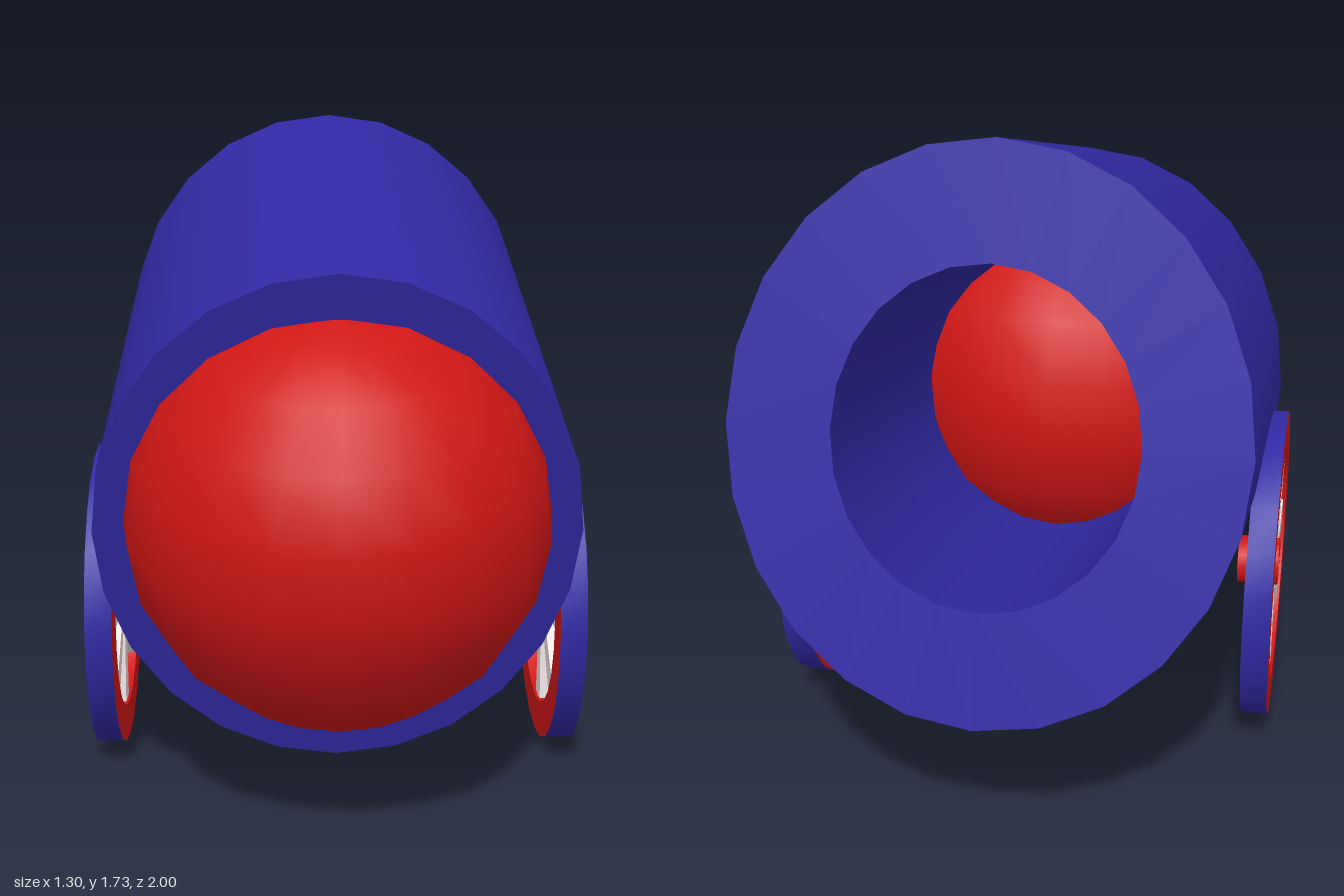
import * as THREE from 'three';
import { toCreasedNormals } from 'three/addons/utils/BufferGeometryUtils.js';

const material = (color) => new THREE.MeshStandardMaterial({ color });
const BLUE = material(0x3029a4);
const RED = material(0xd01616);
const WHITE = material(0xeedfdf);

function part(name, geometry, mat, parent) {
  const mesh = new THREE.Mesh(geometry, mat);
  mesh.name = name;
  parent.add(mesh);
  return mesh;
}

// Turned solid whose axis runs along z; points are [radius, z]
function turned(points, segments, sx = 1, sy = 1) {
  const profile = points.map(([r, z]) => new THREE.Vector2(r, z));
  const geometry = new THREE.LatheGeometry(profile, segments);
  geometry.rotateX(Math.PI / 2).scale(sx, sy, 1);
  return toCreasedNormals(geometry, 0.6);
}

// Wheel built around z, outer side towards +z
function createWheel(name) {
  const wheel = new THREE.Group();
  wheel.name = name;
  const outer = 0.418, inner = 0.32, back = -0.02, front = 0.05;

  part('wheelRim', turned([[outer, front], [inner, front], [inner, back], [outer, back]], 24), RED, wheel);
  part('wheelTread', turned([[outer, back], [outer, front]], 24), BLUE, wheel);

  // Hub with a shallow recess for the pale cap
  part('wheelHub', turned([[0, -0.06], [0.065, -0.06], [0.065, front], [0.04, front], [0.04, 0.03]], 20), RED, wheel);
  part('hubCap', turned([[0.04, 0.02], [0.04, 0.042], [0, 0.042]], 20), WHITE, wheel);

  // Spokes widen towards the rim
  const outline = new THREE.Shape([
    new THREE.Vector2(-0.018, 0.055), new THREE.Vector2(0.018, 0.055),
    new THREE.Vector2(0.038, 0.325), new THREE.Vector2(-0.038, 0.325),
  ]);
  const spokeGeometry = new THREE.ExtrudeGeometry(outline, { depth: 0.055, bevelEnabled: false });
  spokeGeometry.translate(0, 0, -0.0125);
  for (let i = 0; i < 8; i++) {
    part('spoke', spokeGeometry, WHITE, wheel).rotation.z = i * Math.PI / 4;
  }
  return wheel;
}

export function createModel() {
  const model = new THREE.Group();
  model.name = 'roundNosedCannon';
  const tilt = THREE.MathUtils.degToRad(15);

  // Hollow, slightly narrow barrel with its muzzle raised at the back
  const half = 0.678, bore = 0.4;
  const barrel = part('barrel', turned([
    [bore, -half], [half, -half], [half, half], [bore, half], [bore, -half],
  ], 24, 0.9, 1), BLUE, model);
  barrel.position.set(0, 0.9, -0.17);
  barrel.rotation.x = tilt;

  // Round nose closing the front end
  const nose = part('nose', new THREE.SphereGeometry(0.535, 20, 10), RED, model);
  nose.position.set(0, 0.765, 0.465);
  nose.rotation.x = tilt;

  // Wheels on both sides
  for (const side of [1, -1]) {
    const wheel = createWheel(side > 0 ? 'leftWheel' : 'rightWheel');
    wheel.position.set(side * 0.6, 0.418, -0.043);
    wheel.rotation.y = side * Math.PI / 2;
    model.add(wheel);
  }
  return model;
}
